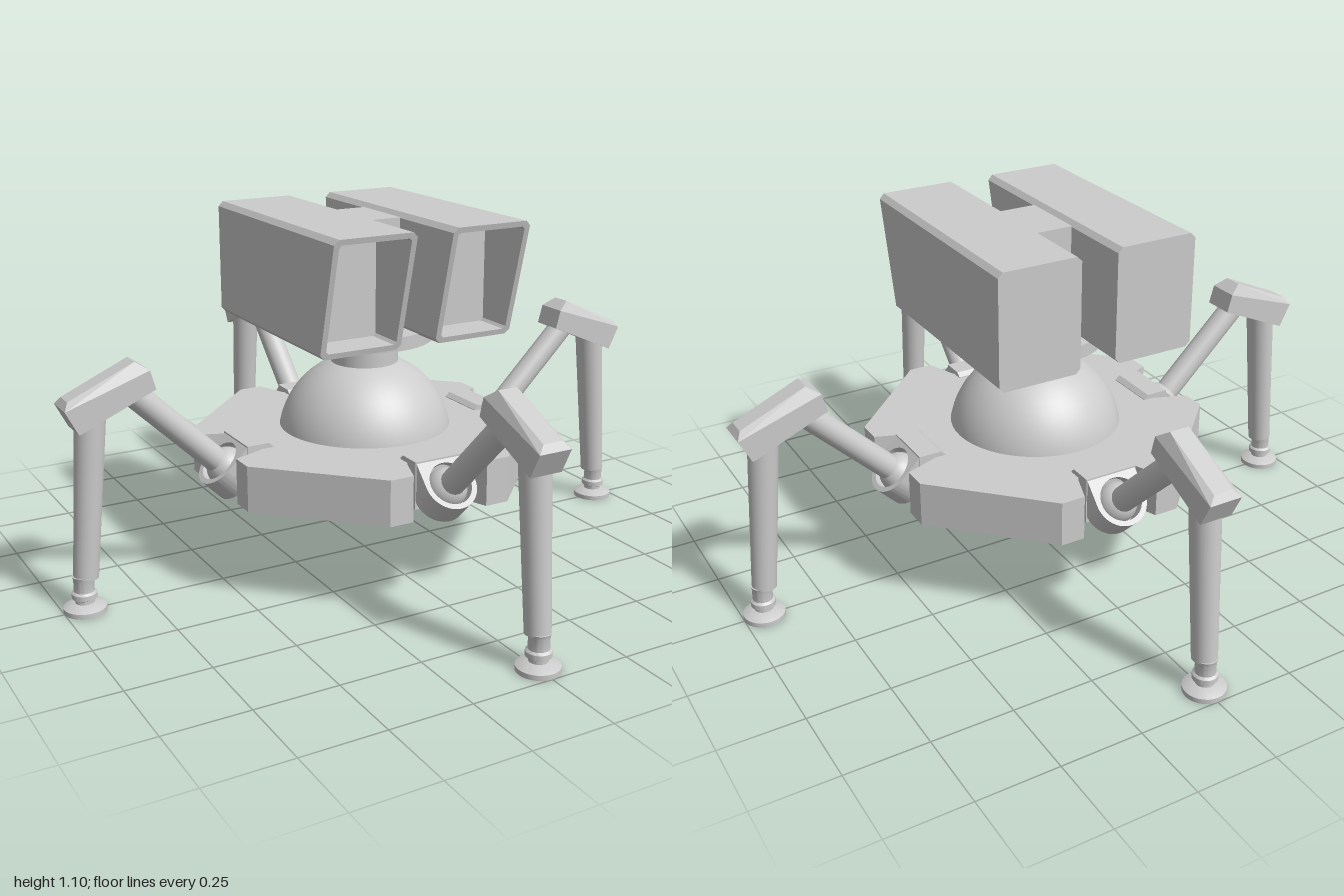
import * as THREE from 'three';
import { toCreasedNormals } from 'three/addons/utils/BufferGeometryUtils.js';
import { ConvexGeometry } from 'three/addons/geometries/ConvexGeometry.js';

const grey = new THREE.MeshStandardMaterial({ color: 0xcccccc });

function add(parent, name, geometry, x = 0, y = 0, z = 0) {
  const mesh = new THREE.Mesh(geometry, grey);
  mesh.name = name;
  mesh.position.set(x, y, z);
  parent.add(mesh);
  return mesh;
}

const shapeOf = (pts) => new THREE.Shape(pts.map(([x, y]) => new THREE.Vector2(x, y)));
const extrude = (shape, depth) =>
  new THREE.ExtrudeGeometry(shape, { depth, bevelEnabled: false, curveSegments: 20 });

// Cylinder running between two points of the leg plane
function rod(parent, name, a, b, rA, rB) {
  const from = new THREE.Vector3(...a), to = new THREE.Vector3(...b);
  const dir = to.clone().sub(from);
  const mesh = add(parent, name, new THREE.CylinderGeometry(rB, rA, dir.length(), 28));
  mesh.position.copy(from).add(to).multiplyScalar(0.5);
  mesh.quaternion.setFromUnitVectors(new THREE.Vector3(0, 1, 0), dir.normalize());
}

// Rectangle with cut corners
function cutRect(w, h, c) {
  const x = w / 2, y = h / 2;
  return [[x - c, -y], [x, -y + c], [x, y - c], [x - c, y],
    [-x + c, y], [-x, y - c], [-x, -y + c], [-x + c, -y]];
}

// Eight-sided plate with a tapered notch at each leg
function plateGeometry() {
  const side = [[0.5, -0.2], [0.5, -0.125], [0.4, -0.088], [0.4, 0.088], [0.5, 0.125], [0.5, 0.2]];
  const pts = [];
  for (let k = 0; k < 4; k++) {
    const c = Math.round(Math.cos(k * Math.PI / 2)), s = Math.round(Math.sin(k * Math.PI / 2));
    side.forEach(([x, y]) => pts.push([x * c - y * s, x * s + y * c]));
  }
  return extrude(shapeOf(pts), 0.14).rotateX(-Math.PI / 2);
}

// One leg reaching out along +x
function makeLeg() {
  const leg = new THREE.Group();
  leg.name = 'leg';

  // Hip block with a sloped inner edge, clamped on the plate
  const block = shapeOf([[0.36, 0.3], [0.445, 0.3], [0.445, 0.445], [0.375, 0.445], [0.36, 0.432]]);
  add(leg, 'hipBlock', extrude(block, 0.17), 0, 0, -0.085);

  // Round-ended socket facing outward and up at 45 degrees
  const r = 0.082, depth = 0.085, q = Math.SQRT1_2;
  const socket = new THREE.Shape();
  socket.moveTo(r, 0.08).lineTo(-r, 0.08).lineTo(-r, 0);
  socket.absarc(0, 0, r, Math.PI, 2 * Math.PI, false);
  socket.holes.push(new THREE.Path().absarc(0, 0, 0.066, 0, 2 * Math.PI, true));
  const geo = toCreasedNormals(extrude(socket, depth), 0.6);
  geo.applyMatrix4(new THREE.Matrix4().makeBasis(
    new THREE.Vector3(0, 0, -1), new THREE.Vector3(-q, q, 0), new THREE.Vector3(q, q, 0)));
  add(leg, 'hipSocket', geo, 0.5 - depth * q, 0.385 - depth * q, 0);
  rod(leg, 'socketFloor', [0.441, 0.326, 0], [0.46, 0.345, 0], 0.07, 0.07);
  add(leg, 'hipBall', new THREE.SphereGeometry(0.062, 28, 18), 0.475, 0.36, 0);

  rod(leg, 'upperLeg', [0.48, 0.36, 0], [0.8, 0.675, 0], 0.038, 0.038);

  // Knee housing: tilted box with its top edges cut
  const knee = [];
  [[0.937, 0.552, 0.05], [0.706, 0.652, 0.05], [0.974, 0.625, 0.05],
    [0.722, 0.71, 0.05], [0.96, 0.647, 0.03], [0.76, 0.736, 0.03]].forEach(([x, y, w]) =>
    knee.push(new THREE.Vector3(x, y, w), new THREE.Vector3(x, y, -w)));
  add(leg, 'knee', new ConvexGeometry(knee));

  rod(leg, 'lowerLeg', [0.929, 0.105, 0], [0.887, 0.6, 0], 0.037, 0.045);

  // Ankle, collar and foot pad
  const foot = [[0, 0], [0.063, 0], [0.063, 0.015], [0.045, 0.024], [0.028, 0.028], [0.028, 0.038],
    [0.037, 0.043], [0.037, 0.058], [0.03, 0.064], [0.03, 0.1], [0.034, 0.112], [0, 0.112]];
  const lathe = new THREE.LatheGeometry(foot.map(([x, y]) => new THREE.Vector2(x, y)), 28);
  add(leg, 'foot', toCreasedNormals(lathe, 0.4), 0.937, 0, 0);
  return leg;
}

// Box pod with a raked, hollow front
function makePod() {
  const pod = new THREE.Group();
  pod.name = 'pod';
  const w = 0.262, h = 0.355, back = -0.36, floor = 0.2;
  add(pod, 'podBody', extrude(shapeOf(cutRect(w, h, 0.015)), floor - back), 0, 0, back);

  const rim = shapeOf(cutRect(w, h, 0.015));
  rim.holes.push(new THREE.Path(cutRect(w - 0.034, h - 0.034, 0.008)
    .map(([x, y]) => new THREE.Vector2(x, y)).reverse()));
  const geo = extrude(rim, 1);
  const p = geo.attributes.position;
  for (let i = 0; i < p.count; i++) {
    const front = 0.405 - (h / 2 - p.getY(i)) * 0.26;
    p.setZ(i, p.getZ(i) > 0.5 ? front : floor);
  }
  geo.computeVertexNormals();
  add(pod, 'podMouth', geo);
  return pod;
}

export function createModel() {
  const model = new THREE.Group();
  model.name = 'walker';

  // Body
  add(model, 'plate', plateGeometry(), 0, 0.29, 0);
  add(model, 'core', new THREE.SphereGeometry(0.272, 48, 32), 0, 0.38, 0);

  // Turret
  add(model, 'neck', new THREE.CylinderGeometry(0.105, 0.105, 0.12, 32), 0, 0.66, 0);
  add(model, 'turntable', new THREE.CylinderGeometry(0.213, 0.213, 0.042, 40), 0, 0.728, 0);
  add(model, 'podMount', new THREE.BoxGeometry(0.16, 0.345, 0.22), 0, 0.915, 0);
  for (const side of [-1, 1]) {
    const pod = makePod();
    pod.position.set(side * 0.19, 0.923, 0);
    model.add(pod);
  }

  // Legs
  ['leftLeg', 'backLeg', 'rightLeg', 'frontLeg'].forEach((name, k) => {
    const leg = makeLeg();
    leg.name = name;
    leg.rotation.y = k * Math.PI / 2;
    model.add(leg);
  });
  return model;
}
